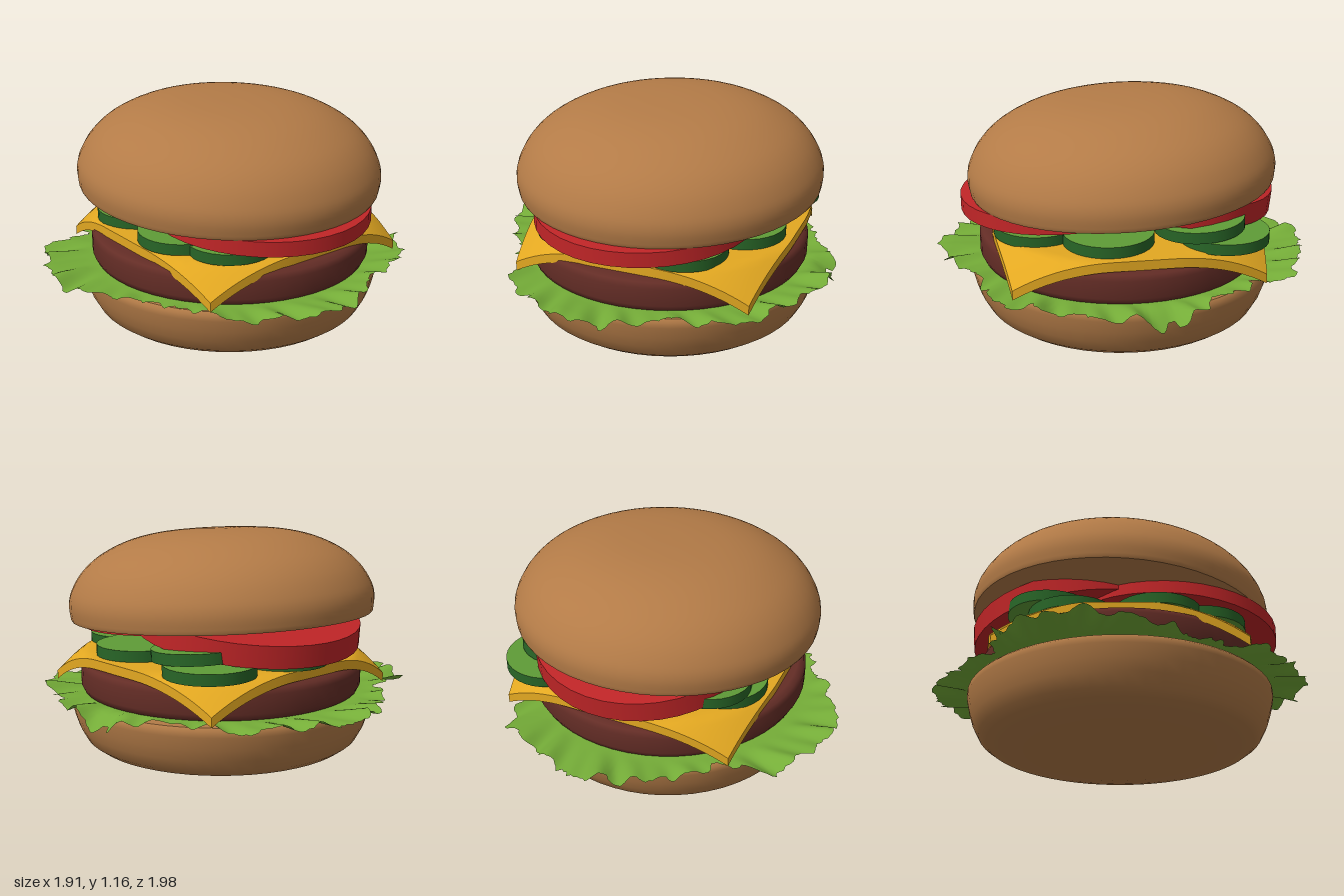
import * as THREE from 'three';

const mat = (name, color, extra = {}) => {
  const m = new THREE.MeshStandardMaterial({ color, ...extra });
  m.name = name;
  return m;
};

export function createModel() {
  const bun = mat('bun brown', 0xb37b47);
  const meat = mat('patty brown', 0x642d26);
  const leaf = mat('lettuce green', 0x75ad38, { side: THREE.DoubleSide });
  const cheeseYellow = mat('cheese yellow', 0xe3a821);
  const tomatoRed = mat('tomato red', 0xc02527);
  const rind = mat('pickle rind', 0x286527);
  const flesh = mat('pickle flesh', 0x5f9c37);

  const group = new THREE.Group();
  const add = (name, geometry, material, x, y, z) => {
    const mesh = new THREE.Mesh(geometry, material);
    mesh.name = name;
    mesh.position.set(x, y, z);
    group.add(mesh);
    return mesh;
  };
  // Profiles run from bottom to top; a repeated point makes a sharp edge
  const lathe = (pts) => new THREE.LatheGeometry(pts.map(([r, y]) => new THREE.Vector2(r, y)), 56);

  // Buns
  add('bottomBun', lathe([
    [0, 0], [0.5, 0.002], [0.62, 0.02], [0.69, 0.035], [0.73, 0.065], [0.765, 0.13], [0.785, 0.19],
    [0.8, 0.255], [0.8, 0.285], [0.785, 0.3], [0.785, 0.3], [0, 0.3],
  ]), bun, 0.025, 0, 0.005);

  const dome = new THREE.SplineCurve([
    [0.795, 0.01], [0.802, 0.08], [0.785, 0.15], [0.73, 0.24], [0.64, 0.32],
    [0.5, 0.39], [0.34, 0.43], [0.16, 0.446], [0, 0.449],
  ].map(([r, y]) => new THREE.Vector2(r, y))).getPoints(32).map((p) => [Math.max(p.x, 0), p.y]);
  const topBun = add('topBun', lathe([[0, 0], [0.79, 0], [0.79, 0], ...dome]), bun, 0.025, 0.703, 0);
  topBun.rotation.x = 0.056;

  // Patty
  add('patty', lathe([
    [0, 0], [0.7, 0], [0.73, 0.015], [0.745, 0.045], [0.745, 0.135], [0.733, 0.162], [0.705, 0.175], [0, 0.178],
  ]), meat, 0.025, 0.302, 0.012);

  // Lettuce
  add('lettuce', lettuceGeometry(), leaf, 0, 0, 0);

  // Cheese slice: a thin square whose corners drape over the patty
  const cheeseGeo = new THREE.BoxGeometry(1.38, 0.048, 1.38, 28, 1, 28);
  const pos = cheeseGeo.attributes.position;
  for (let i = 0; i < pos.count; i++) {
    const x = pos.getX(i), z = pos.getZ(i), r = Math.hypot(x, z);
    const over = Math.max(0, r - 0.71);
    const k = r > 0 ? (r - over * 0.38) / r : 1;
    pos.setXYZ(i, x * k, pos.getY(i) - 0.145 * Math.pow(over / 0.266, 1.2), z * k);
  }
  cheeseGeo.computeVertexNormals();
  add('cheese', cheeseGeo, cheeseYellow, 0.045, 0.502, 0).rotation.y = 0.08;

  // Pickle slices: x, y, z, tilt about x, tilt about z
  const pickleGeo = new THREE.CylinderGeometry(0.225, 0.225, 0.056, 32);
  [
    [-0.26, 0.552, 0.44, 0, 0.02], [0.31, 0.552, 0.44, 0, -0.02],
    [0.48, 0.556, 0.1, 0, 0], [0.47, 0.548, -0.47, 0, 0],
    [0.45, 0.605, -0.35, 0.06, 0], [0.03, 0.552, -0.49, 0, 0],
    [-0.41, 0.55, -0.2, 0, 0], [-0.37, 0.605, -0.31, 0.05, 0],
    [-0.4, 0.556, 0.22, 0, 0],
  ].forEach(([x, y, z, rx, rz], i) => {
    const p = add('pickle' + (i + 1), pickleGeo, [rind, flesh, flesh], x, y, z);
    p.rotation.set(rx, 0, rz);
  });

  // Tomato slices, leaning on each other
  const frontTomato = add('frontTomato', new THREE.CylinderGeometry(0.575, 0.58, 0.075, 40), tomatoRed, 0.03, 0.658, 0.27);
  frontTomato.rotation.x = 0.07;
  const backTomato = add('backTomato', new THREE.CylinderGeometry(0.575, 0.58, 0.11, 40), tomatoRed, 0.03, 0.695, -0.215);
  backTomato.rotation.x = -0.145;

  return group;
}

// Ruffled leaf: rings from under the patty out to a ragged rim
function lettuceGeometry() {
  const rim = [ // rim radius every 15 degrees, from +x towards +z
    0.93, 0.92, 0.94, 0.95, 0.84, 0.9, 0.975, 0.94, 0.91, 0.81, 0.79, 0.86,
    0.96, 0.96, 0.97, 0.81, 0.86, 0.93, 0.975, 0.94, 0.96, 0.84, 0.83, 0.9,
  ];
  const hash = (n) => { const s = Math.sin(n * 127.1 + 3.7) * 43758.5453; return s - Math.floor(s); };
  const N = 360, RINGS = 10, verts = [], index = [];
  for (let j = 0; j <= RINGS; j++) {
    for (let i = 0; i < N; i++) {
      const deg = (i * 360) / N, a = THREE.MathUtils.degToRad(deg);
      const s = Math.floor(deg / 15), f = THREE.MathUtils.smoothstep(deg / 15 - s, 0, 1);
      const ragged = 0.012 * Math.sin(a * 41) + 0.035 * (hash(Math.floor(i / 3)) - 0.5) + 0.012 * (hash(i + 500) - 0.5);
      const R = THREE.MathUtils.lerp(rim[s], rim[(s + 1) % 24], f) + ragged;
      const r = THREE.MathUtils.lerp(0.6, R, j / RINGS);
      const out = THREE.MathUtils.clamp((r - 0.74) / 0.2, 0, 1);
      const wave = 0.016 * Math.sin(a * 23 + r * 9) + 0.012 * Math.sin(a * 37 + 1 + r * 14) + 0.009 * Math.sin(a * 11 + 2);
      // One lobe hangs down over the bottom bun
      const da = (deg > 180 ? deg - 360 : deg) + 10;
      const droop = Math.exp(-Math.pow(da / 7, 2)) * Math.pow(THREE.MathUtils.clamp((r - 0.8) / 0.13, 0, 1), 1.2);
      verts.push(r * Math.cos(a), 0.314 + out * (wave + 0.014) - 0.1 * droop, r * Math.sin(a));
    }
  }
  for (let j = 0; j < RINGS; j++) {
    for (let i = 0; i < N; i++) {
      const a = j * N + i, b = j * N + ((i + 1) % N);
      index.push(a, b, a + N, b, b + N, a + N);
    }
  }
  const g = new THREE.BufferGeometry();
  g.setAttribute('position', new THREE.Float32BufferAttribute(verts, 3));
  g.setIndex(index);
  g.computeVertexNormals();
  return g;
}
